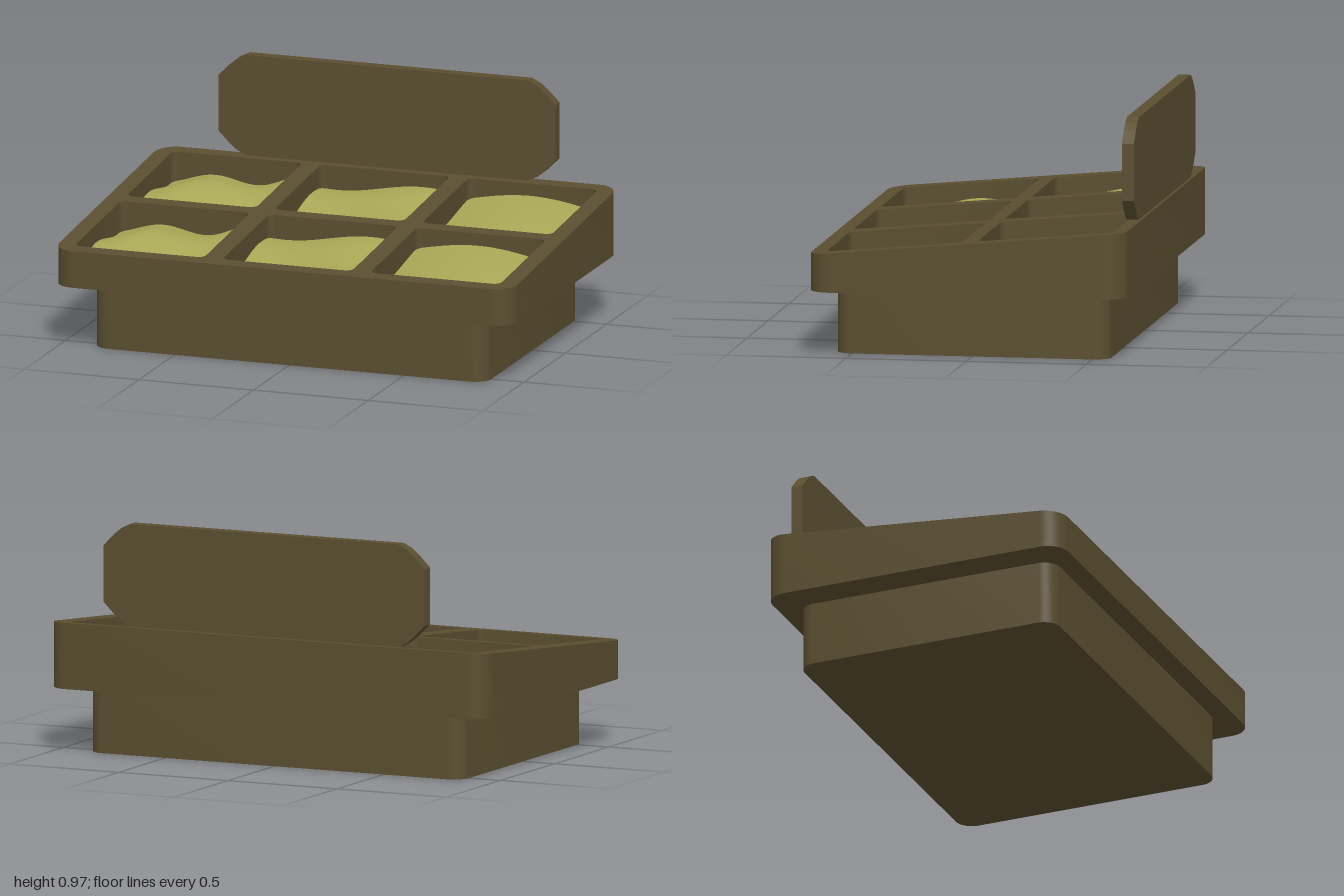
import * as THREE from 'three';
import { toCreasedNormals } from 'three/addons/utils/BufferGeometryUtils.js';

const wood = new THREE.MeshStandardMaterial({ color: 0x5a4e30 });
const filling = new THREE.MeshStandardMaterial({ color: 0xa8a655, side: THREE.DoubleSide });

// height of the sloping tray rim at depth z
const rimY = (z) => 0.425 + ((0.66 - z) / 1.32) * 0.12;

function roundedRect(path, cx, cy, w, h, r) {
  const x = cx - w / 2, y = cy - h / 2;
  path.moveTo(x + r, y);
  path.lineTo(x + w - r, y);
  path.absarc(x + w - r, y + r, r, -Math.PI / 2, 0);
  path.lineTo(x + w, y + h - r);
  path.absarc(x + w - r, y + h - r, r, 0, Math.PI / 2);
  path.lineTo(x + r, y + h);
  path.absarc(x + r, y + h - r, r, Math.PI / 2, Math.PI);
  path.lineTo(x, y + r);
  path.absarc(x + r, y + r, r, Math.PI, Math.PI * 1.5);
  return path;
}

// flat outline (x, -z) raised from y0 to y1
function slab(shape, y0, y1) {
  const g = new THREE.ExtrudeGeometry(shape, { depth: y1 - y0, bevelEnabled: false, curveSegments: 6 });
  return g.rotateX(-Math.PI / 2).translate(0, y0, 0);
}

function add(group, name, geometry, material) {
  const mesh = new THREE.Mesh(geometry, material);
  mesh.name = name;
  group.add(mesh);
  return mesh;
}

// lumpy surface for each column; u and v run from -1 to 1
const bumps = [
  (u, v) => 0.024 * Math.sin(3.2 * v + 1.3 * u + 2.6) + 0.016 * Math.cos(4.2 * u + 1.6) * (1 - 0.4 * v),
  (u, v) => 0.018 * Math.cos(2.6 * u - 1.4) + 0.014 * Math.cos(3.4 * v + 0.6 * u + 2.4),
  (u, v) => 0.03 * Math.cos(1.7 * u) - 0.012 * Math.sin(2 * v - u) - 0.008,
];

export function createModel() {
  const model = new THREE.Group();
  const cellX = [-0.645, 0, 0.645], cellZ = [-0.3175, 0.3125], cell = 0.565;

  // plinth and tray floor
  add(model, 'base', toCreasedNormals(slab(roundedRect(new THREE.Shape(), 0, 0, 1.715, 1.14, 0.07), 0, 0.27), 0.5), wood);
  const outline = () => roundedRect(new THREE.Shape(), 0, 0, 2, 1.32, 0.09);
  add(model, 'trayFloor', toCreasedNormals(slab(outline(), 0.27, 0.3), 0.5), wood);

  // tray walls with six openings, top face sloping up to the back
  const frame = outline();
  for (const x of cellX) for (const z of cellZ) {
    frame.holes.push(roundedRect(new THREE.Path(), x, -z, cell, cell, 0.03));
  }
  const walls = slab(frame, 0.3, 0.5);
  const p = walls.attributes.position;
  for (let i = 0; i < p.count; i++) if (p.getY(i) > 0.4) p.setY(i, rimY(p.getZ(i)));
  add(model, 'trayWalls', toCreasedNormals(walls, 0.5), wood);

  // lumpy filling in each compartment
  cellX.forEach((x, column) => cellZ.forEach((z, row) => {
    const g = new THREE.PlaneGeometry(cell, cell, 24, 24).rotateX(-Math.PI / 2).translate(x, 0, z);
    const q = g.attributes.position;
    for (let i = 0; i < q.count; i++) {
      const u = (q.getX(i) - x) / (cell / 2), v = (q.getZ(i) - z) / (cell / 2);
      q.setY(i, rimY(q.getZ(i)) - 0.085 + bumps[column](u, v));
    }
    g.computeVertexNormals();
    add(model, `filling${row ? 'Front' : 'Back'}${column + 1}`, g, filling);
  }));

  // upright sign board with clipped corners at the back
  const corner = [[0.735, 0.118], [0.685, 0.168], [0.655, 0.193], [0.615, 0.2125]];
  const points = [];
  for (const [sx, sy] of [[1, 1], [-1, 1], [-1, -1], [1, -1]]) {
    const pts = corner.map(([x, y]) => new THREE.Vector2(x * sx, y * sy));
    points.push(...(sx * sy > 0 ? pts : pts.reverse()));
  }
  const board = new THREE.ExtrudeGeometry(new THREE.Shape(points), { depth: 0.05, bevelEnabled: false });
  add(model, 'signBoard', board, wood).position.set(0.005, 0.762, -0.654);

  return model;
}
